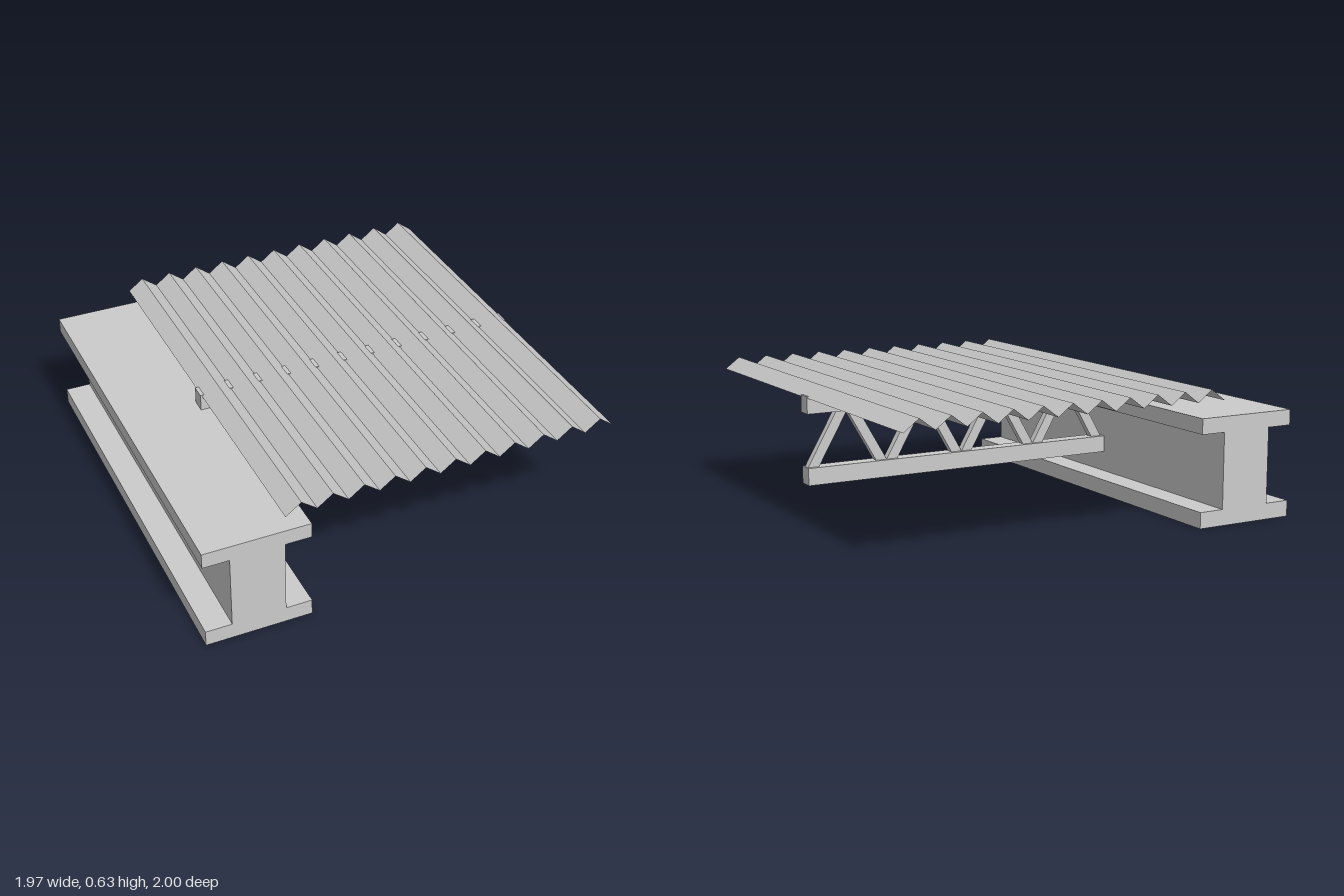
import * as THREE from 'three';

const grey = new THREE.MeshStandardMaterial({ color: 0xcccccc, flatShading: true });
const sheetGrey = new THREE.MeshStandardMaterial({ color: 0xcccccc, flatShading: true, side: THREE.DoubleSide });

// Extrude an outline in the xy plane, centred on z = 0
function prism(name, points, depth) {
  const shape = new THREE.Shape(points.map(([x, y]) => new THREE.Vector2(x, y)));
  const geometry = new THREE.ExtrudeGeometry(shape, { depth, bevelEnabled: false });
  geometry.translate(0, 0, -depth / 2);
  const mesh = new THREE.Mesh(geometry, grey);
  mesh.name = name;
  return mesh;
}

function bar(name, x0, x1, y0, y1, depth) {
  const mesh = new THREE.Mesh(new THREE.BoxGeometry(x1 - x0, y1 - y0, depth), grey);
  mesh.position.set((x0 + x1) / 2, (y0 + y1) / 2, 0);
  mesh.name = name;
  return mesh;
}

export function createModel() {
  const model = new THREE.Group();
  model.name = 'roofStructure';

  // Main I-beam
  const cx = -0.738, flange = 0.247, web = 0.125;
  const half = [[flange, 0], [flange, 0.075], [web, 0.075], [web, 0.428], [flange, 0.428], [flange, 0.5]];
  model.add(prism('mainBeam', [
    ...half.map(([x, y]) => [cx + x, y]),
    ...half.map(([x, y]) => [cx - x, y]).reverse(),
  ], 2));

  // Truss: two chords and zigzag bracing
  const truss = new THREE.Group();
  truss.name = 'truss';
  const low = 0.252, high = 0.5;
  truss.add(bar('topChord', -0.618, 0.98, high, 0.58, 0.07));
  truss.add(bar('bottomChord', -0.613, 0.98, 0.172, low, 0.07));
  for (let i = 0; i < 4; i++) {
    const peak = -0.404 + i * 0.394;
    const left = [[peak - 0.197, low], [peak - 0.143, low], [peak, high], [peak - 0.054, high]];
    truss.add(prism('diagonalBrace', left, 0.036));
    truss.add(prism('diagonalBrace', left.map(([x, y]) => [2 * peak - x, y]), 0.036));
  }
  model.add(truss);

  // Corrugated sheet: a plane folded into ridges along z
  const folds = 22, x0 = -0.61, x1 = 0.98;
  const sheet = new THREE.PlaneGeometry(x1 - x0, 2, folds, 1).rotateX(-Math.PI / 2);
  const pos = sheet.attributes.position;
  for (let i = 0; i < pos.count; i++) {
    pos.setY(i, (i % (folds + 1)) % 2 ? 0.627 : 0.573);
  }
  sheet.translate((x0 + x1) / 2, 0, 0);
  const flat = sheet.toNonIndexed();
  flat.computeVertexNormals();
  const roof = new THREE.Mesh(flat, sheetGrey);
  roof.name = 'corrugatedSheet';
  model.add(roof);

  return model;
}
